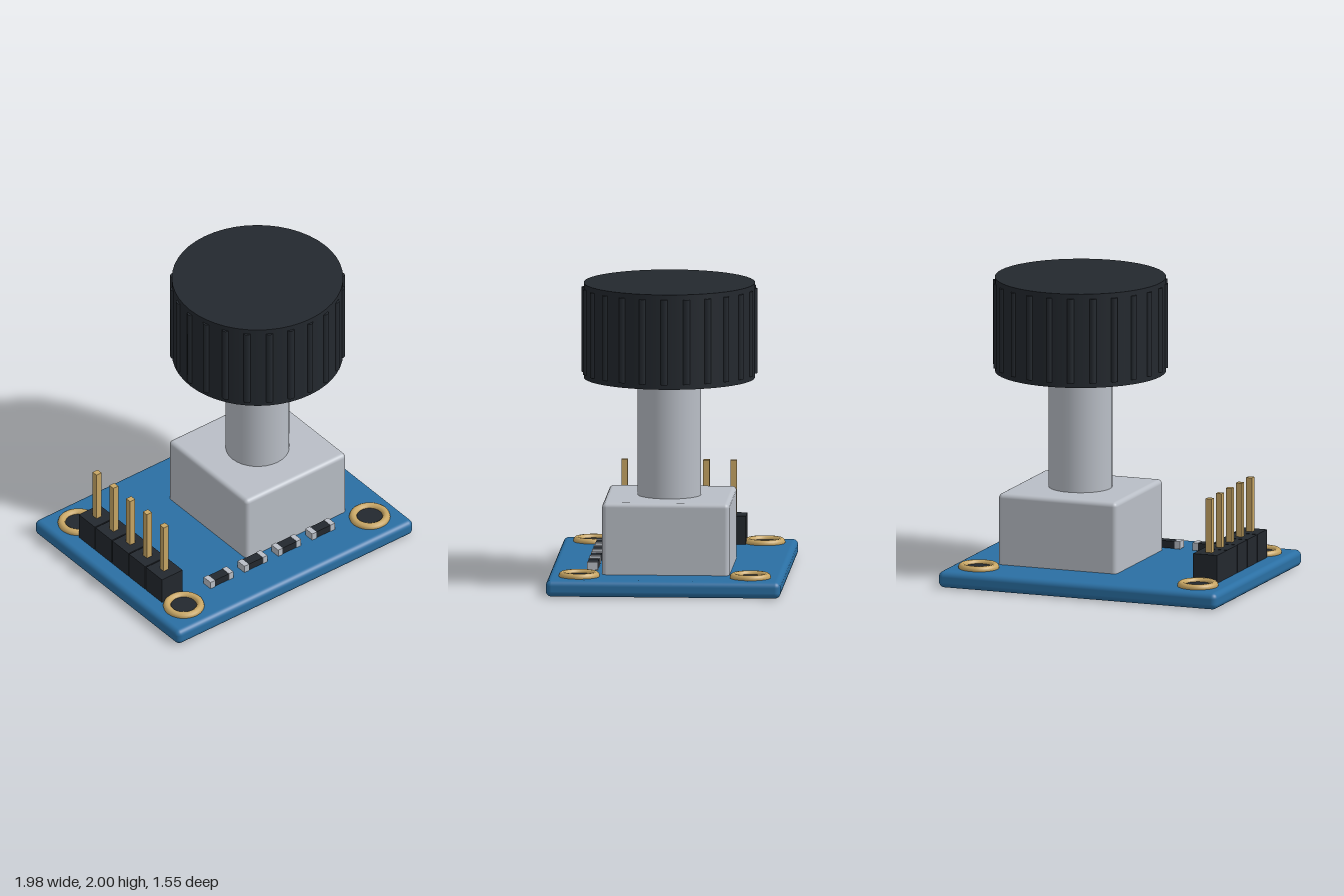
import * as THREE from 'three';
import { RoundedBoxGeometry } from 'three/addons/geometries/RoundedBoxGeometry.js';

const paint = (color) => new THREE.MeshStandardMaterial({ color });

export function createModel() {
  const model = new THREE.Group();
  const blue = paint(0x2a6fa3);
  const black = paint(0x23282e);
  const gold = paint(0xc8a664);
  const metal = paint(0xb9bec6);

  const add = (name, geometry, material, x, y, z, parent = model) => {
    const mesh = new THREE.Mesh(geometry, material);
    mesh.name = name;
    mesh.position.set(x, y, z);
    parent.add(mesh);
    return mesh;
  };
  const group = (name) => {
    const g = new THREE.Group();
    g.name = name;
    model.add(g);
    return g;
  };

  // Circuit board with softened edges
  add('board', new RoundedBoxGeometry(1.975, 0.11, 1.55, 4, 0.038), blue, 0, 0.055, 0);

  // Mounting holes: gold rim around a dark disc
  const holes = group('mountingHoles');
  const rim = new THREE.TorusGeometry(0.11, 0.026, 10, 36).rotateX(Math.PI / 2);
  const disc = new THREE.CylinderGeometry(0.098, 0.098, 0.06, 36);
  for (const x of [-0.777, 0.777]) {
    for (const z of [-0.565, 0.565]) {
      add('holeRim', rim, gold, x, 0.117, z, holes);
      add('holeDisc', disc, black, x, 0.09, z, holes);
    }
  }

  // Five-pin header along the right side
  const header = group('pinHeader');
  const block = new THREE.BoxGeometry(0.172, 0.19, 0.172);
  const pin = new THREE.BoxGeometry(0.042, 0.46, 0.042);
  for (let i = -2; i <= 2; i++) {
    add('headerBlock', block, black, -0.78, 0.203, i * 0.18, header);
    add('headerPin', pin, gold, -0.78, 0.43, i * 0.18, header);
  }

  // Row of small chip resistors along the front edge
  const resistors = group('resistors');
  const chip = new THREE.BoxGeometry(0.125, 0.048, 0.068);
  const cap = new THREE.BoxGeometry(0.037, 0.052, 0.074);
  for (let i = 0; i < 4; i++) {
    const x = -0.43 + i * 0.283;
    add('resistorBody', chip, black, x, 0.138, 0.493, resistors);
    for (const side of [-1, 1]) {
      add('resistorCap', cap, metal, x + side * 0.077, 0.139, 0.493, resistors);
    }
  }

  // Encoder housing and shaft
  const cx = 0.28;
  add('housing', new RoundedBoxGeometry(0.84, 0.51, 0.84, 3, 0.03), metal, cx, 0.332, 0);
  add('shaft', new THREE.CylinderGeometry(0.21, 0.21, 0.86, 32), metal, cx, 0.98, 0);

  // Knob with grip ribs around its side
  const knob = group('knob');
  knob.position.set(cx, 0, 0);
  add('knobBody', new THREE.CylinderGeometry(0.565, 0.565, 0.632, 48), black, 0, 1.684, 0, knob);
  const rib = new THREE.CylinderGeometry(0.026, 0.026, 0.566, 8);
  for (let i = 0; i < 24; i++) {
    const a = (i / 24) * Math.PI * 2;
    add('gripRib', rib, black, Math.cos(a) * 0.555, 1.683, Math.sin(a) * 0.555, knob);
  }

  return model;
}
